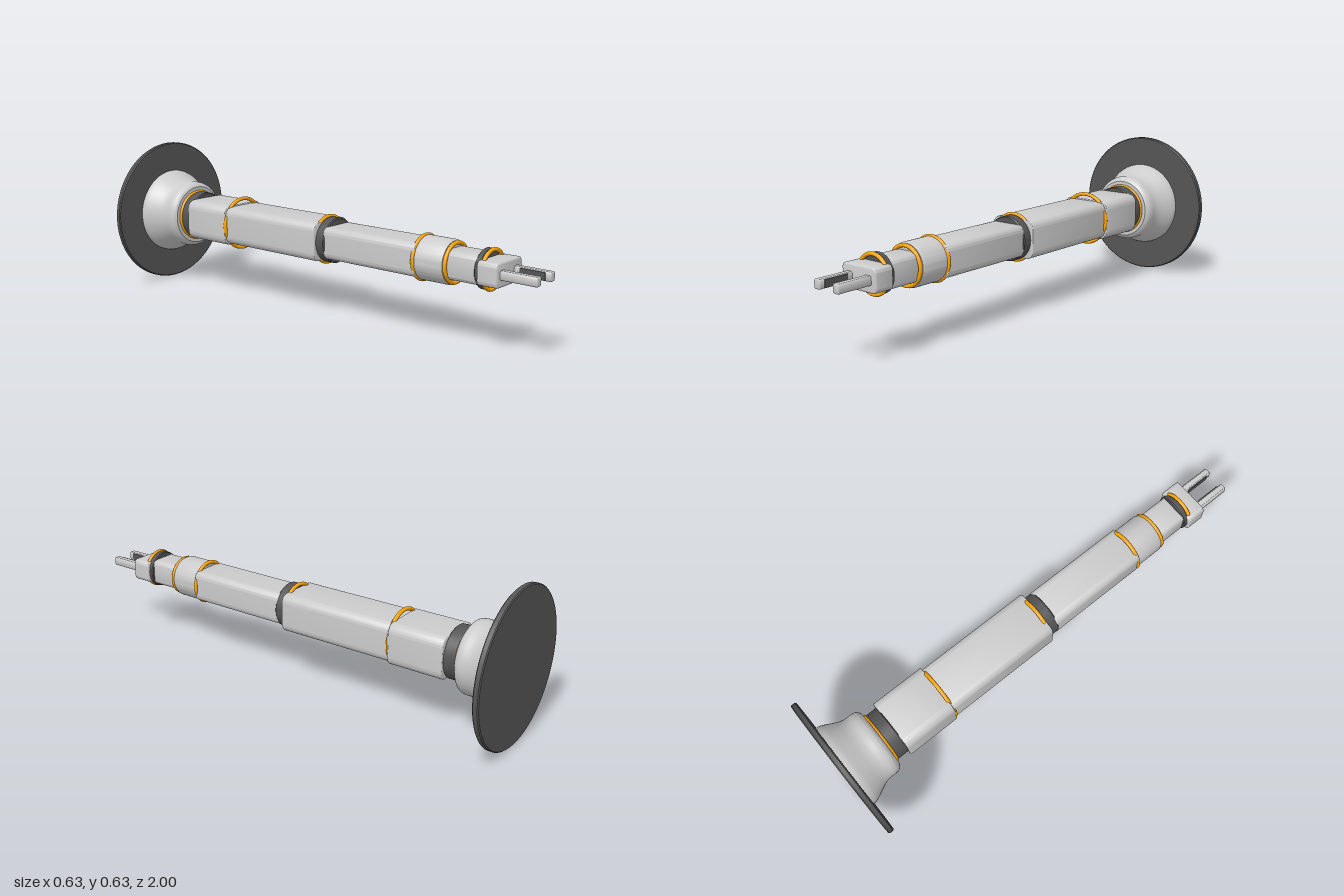
import * as THREE from 'three';
import { toCreasedNormals } from 'three/addons/utils/BufferGeometryUtils.js';

const GREY = new THREE.MeshStandardMaterial({ color: 0xcccccc });
const DARK = new THREE.MeshStandardMaterial({ color: 0x555555 });
const ORANGE = new THREE.MeshStandardMaterial({ color: 0xffa500 });

export function createModel() {
  const model = new THREE.Group();
  // Everything sits on one horizontal axis along z
  const arm = new THREE.Group();
  arm.name = 'arm';
  arm.position.y = 0.318;
  model.add(arm);

  const add = (name, geometry, material) => {
    const mesh = new THREE.Mesh(geometry, material);
    mesh.name = name;
    arm.add(mesh);
    return mesh;
  };

  // Turned part from [radius, z] pairs, listed from back to front
  const turned = (name, pairs, material) => {
    const points = pairs.map(([r, z]) => new THREE.Vector2(r, z));
    const geometry = new THREE.LatheGeometry(points, 64).rotateX(Math.PI / 2);
    return add(name, toCreasedNormals(geometry, 0.6), material);
  };

  const collar = (name, r, z0, z1) => {
    const c = 0.004;
    return turned(name, [[0, z0], [r - c, z0], [r, z0 + c], [r, z1 - c], [r - c, z1], [0, z1]], DARK);
  };

  const ring = (name, outer, z, tube = 0.008) => {
    add(name, new THREE.TorusGeometry(outer - tube, tube, 12, 64), ORANGE).position.z = z;
  };

  // Rounded rectangular bar with softly bevelled ends, given by half sizes
  const bar = (name, hx, hy, radius, z0, z1, bevel = 0.004, x = 0, material = GREY) => {
    const w = hx - bevel, h = hy - bevel, r = radius;
    const s = new THREE.Shape();
    s.moveTo(-w + r, -h);
    s.lineTo(w - r, -h);
    s.absarc(w - r, -h + r, r, -Math.PI / 2, 0);
    s.absarc(w - r, h - r, r, 0, Math.PI / 2);
    s.absarc(-w + r, h - r, r, Math.PI / 2, Math.PI);
    s.absarc(-w + r, -h + r, r, Math.PI, Math.PI * 1.5);
    const geometry = new THREE.ExtrudeGeometry(s, {
      depth: z1 - z0 - 2 * bevel, bevelThickness: bevel, bevelSize: bevel,
      bevelSegments: 3, curveSegments: 8,
    });
    add(name, toCreasedNormals(geometry, 0.6), material).position.set(x, 0, z0 + bevel);
  };

  // Base plate and flared mount
  turned('basePlate', [[0, -1], [0.312, -1], [0.316, -0.996], [0.316, -0.979], [0.312, -0.975], [0, -0.975]], DARK);
  const flare = new THREE.SplineCurve([
    [0.187, -0.967], [0.182, -0.95], [0.167, -0.92], [0.153, -0.89], [0.147, -0.865],
    [0.147, -0.835], [0.142, -0.815], [0.128, -0.803],
  ].map(([r, z]) => new THREE.Vector2(r, z))).getPoints(28).map((p) => [p.x, p.y]);
  turned('flaredMount', [[0, -0.976], [0.187, -0.976], ...flare, [0, -0.803]], GREY);

  // Rear arm
  ring('mountRing', 0.113, -0.8);
  collar('rearCollar', 0.107, -0.802, -0.742);
  bar('rearSleeve', 0.115, 0.087, 0.035, -0.745, -0.51);
  ring('sleeveRing', 0.117, -0.51);
  bar('rearBar', 0.105, 0.081, 0.03, -0.515, 0);

  // Middle arm
  ring('middleRing', 0.104, -0.008);
  collar('middleCollar', 0.094, -0.005, 0.042);
  bar('middleBar', 0.087, 0.067, 0.025, 0.035, 0.485);

  // Wrist
  ring('wristRearRing', 0.095, 0.48);
  turned('wristCylinder', [[0, 0.478], [0.088, 0.478], [0.088, 0.602], [0.083, 0.612], [0, 0.612]], GREY);
  ring('wristFrontRing', 0.085, 0.62);
  bar('wristBar', 0.066, 0.056, 0.02, 0.605, 0.76);
  collar('headCollar', 0.078, 0.747, 0.774);
  ring('headRing', 0.083, 0.78);

  // Gripper head with two prongs and their inner pads
  bar('gripperHead', 0.087, 0.047, 0.012, 0.765, 0.85, 0.006);
  for (const side of [1, -1]) {
    const name = side > 0 ? 'left' : 'right';
    bar(name + 'Prong', 0.0155, 0.0185, 0.003, 0.84, 1, 0.005, side * 0.0485);
    const pad = add(name + 'PronGPad'.replace('G', 'g'), new THREE.BoxGeometry(0.006, 0.03, 0.105), DARK);
    pad.position.set(side * 0.0335, 0, 0.925);
  }
  return model;
}
